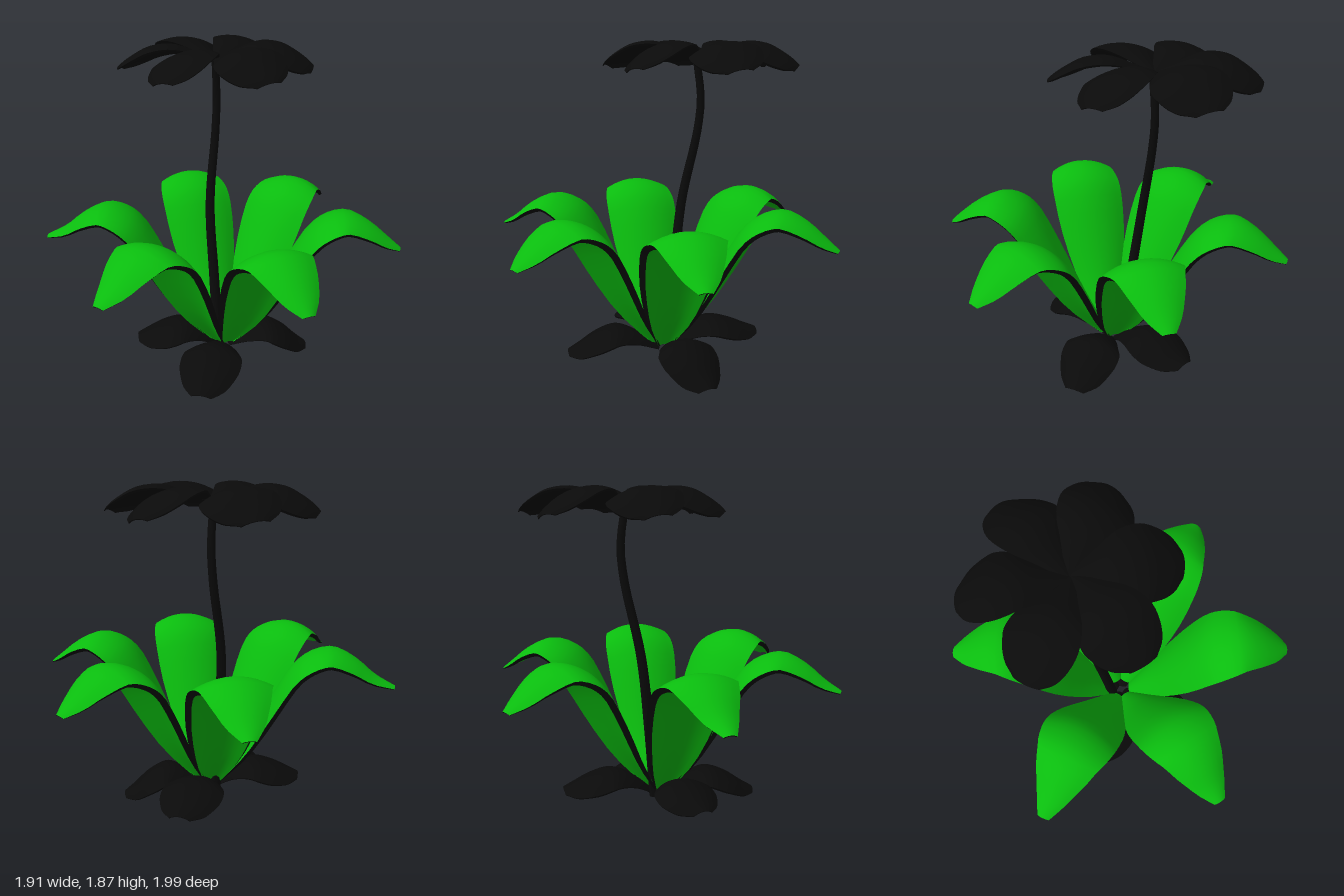
import * as THREE from 'three';

const green = new THREE.MeshStandardMaterial({ color: 0x0abc0e });
const dark = new THREE.MeshStandardMaterial({ color: 0x0a0a0a });
const darkRim = new THREE.MeshStandardMaterial({ color: 0x0a0a0a, side: THREE.DoubleSide });

// Smooth surface through equal rows of points
function surface(rows, flip) {
  const m = rows[0].length, pos = [], idx = [];
  rows.forEach(row => row.forEach(p => pos.push(p.x, p.y, p.z)));
  for (let i = 0; i < rows.length - 1; i++) {
    for (let j = 0; j < m - 1; j++) {
      const a = i * m + j, b = a + 1, c = a + m, d = c + 1;
      if (flip) idx.push(a, c, b, b, c, d);
      else idx.push(a, b, c, b, d, c);
    }
  }
  const g = new THREE.BufferGeometry();
  g.setAttribute('position', new THREE.Float32BufferAttribute(pos, 3));
  g.setIndex(idx);
  g.computeVertexNormals();
  return g;
}

// Blade growing along +x; profile holds [distance, height, half width]
function blade(name, profile, { angle, curl, thick, inset, material, roll = 0 }) {
  const curve = new THREE.CatmullRomCurve3(profile.map(p => new THREE.Vector3(...p)), false, 'centripetal');
  const n = 20, m = 10, top = [], bottom = [];
  for (let i = 0; i <= n; i++) {
    const p = curve.getPoint(i / n), t = curve.getTangent(i / n);
    const len = Math.hypot(t.x, t.y), nx = -t.y / len, ny = t.x / len;
    const section = (scale, depth) => Array.from({ length: m + 1 }, (_, j) => {
      const v = (j / m) * 2 - 1;
      const off = -depth - p.z * (curl * v * v + roll * v);
      return new THREE.Vector3(p.x + nx * off, p.y + ny * off, p.z * scale * v);
    });
    top.push(section(1, 0));
    bottom.push(section(inset, thick * Math.min(1, p.z / 0.18)));
  }
  const border = g => [...g.map(r => r[0]), ...g[n].slice(1, m), ...g.map(r => r[m]).reverse()];
  const group = new THREE.Group();
  group.name = name;
  const add = (part, geo, mat) => {
    const mesh = new THREE.Mesh(geo, mat);
    mesh.name = part;
    group.add(mesh);
  };
  add('upperFace', surface(top, false), material);
  add('underside', surface(bottom, true), material);
  add('rim', surface([border(top), border(bottom)], false), darkRim);
  group.rotation.y = -THREE.MathUtils.degToRad(angle);
  return group;
}

export function createModel() {
  const plant = new THREE.Group();
  plant.name = 'floweringPlant';

  // Six tall arching leaves: [angle, reach of the tip]
  [[-79, 1.01], [-21, 1.01], [38, 1.01], [97, 1], [157, 1.03], [214, 1.05]].forEach(([angle, reach]) => {
    const profile = [
      [0.05, 0.12, 0.045], [0.2, 0.36, 0.14], [0.35, 0.65, 0.205], [0.48, 0.87, 0.222],
      [0.58, 0.95, 0.215], [0.7, 0.98, 0.19], [0.83, 0.925, 0.15], [0.94, 0.84, 0.095], [reach, 0.785, 0.035],
    ];
    plant.add(blade('tallLeaf', profile, { angle, curl: 0.28, thick: 0.025, inset: 0.86, material: green }));
  });

  // Four low leaves around the foot: [angle, reach, peak height, tip height]
  [[20, 0.52, 0.21, 0.03], [134, 0.57, 0.22, 0.08], [205, 0.53, 0.25, 0.17], [-52, 0.58, 0.25, 0.16]]
    .forEach(([angle, reach, peak, tip]) => {
      const profile = [
        [0.02, 0.08, 0.03], [reach * 0.27, 0.08 + (peak - 0.08) * 0.7, 0.11], [reach * 0.5, peak, 0.17],
        [reach * 0.72, peak * 0.7 + tip * 0.3, 0.175], [reach * 0.89, peak * 0.25 + tip * 0.75, 0.13], [reach, tip, 0.06],
      ];
      plant.add(blade('lowLeaf', profile, { angle, curl: 0.35, thick: 0.012, inset: 0.95, material: dark }));
    });

  // Bent stem, thinning toward the flower
  const path = new THREE.CatmullRomCurve3([
    [-0.01, 0.08, -0.06], [-0.01, 0.5, -0.11], [0.0, 0.95, -0.17], [0.07, 1.37, -0.225],
    [0.085, 1.56, -0.235], [0.065, 1.79, -0.215],
  ].map(p => new THREE.Vector3(...p)));
  const stemGeo = new THREE.TubeGeometry(path, 24, 0.03, 10);
  const pos = stemGeo.attributes.position, v = new THREE.Vector3();
  for (let i = 0; i < pos.count; i++) {
    const t = Math.floor(i / 11) / 24, c = path.getPointAt(t);
    v.fromBufferAttribute(pos, i).sub(c).multiplyScalar(1.1 - 0.4 * t).add(c);
    pos.setXYZ(i, v.x, v.y, v.z);
  }
  const stem = new THREE.Mesh(stemGeo, dark);
  stem.name = 'stem';
  plant.add(stem);

  // Flower head of six drooping petals, each rolled a little like a propeller
  const flower = new THREE.Group();
  flower.name = 'flower';
  flower.position.set(0.08, 0, -0.23);
  const petalProfile = [
    [0, 1.79, 0.025], [0.12, 1.835, 0.09], [0.25, 1.873, 0.165], [0.37, 1.86, 0.19],
    [0.46, 1.815, 0.17], [0.52, 1.775, 0.13], [0.555, 1.745, 0.07],
  ];
  for (let i = 0; i < 6; i++) {
    flower.add(blade('petal', petalProfile, {
      angle: 30 + i * 60, curl: 0.25, roll: 0.2, thick: 0.012, inset: 0.95, material: dark,
    }));
  }
  plant.add(flower);
  return plant;
}
